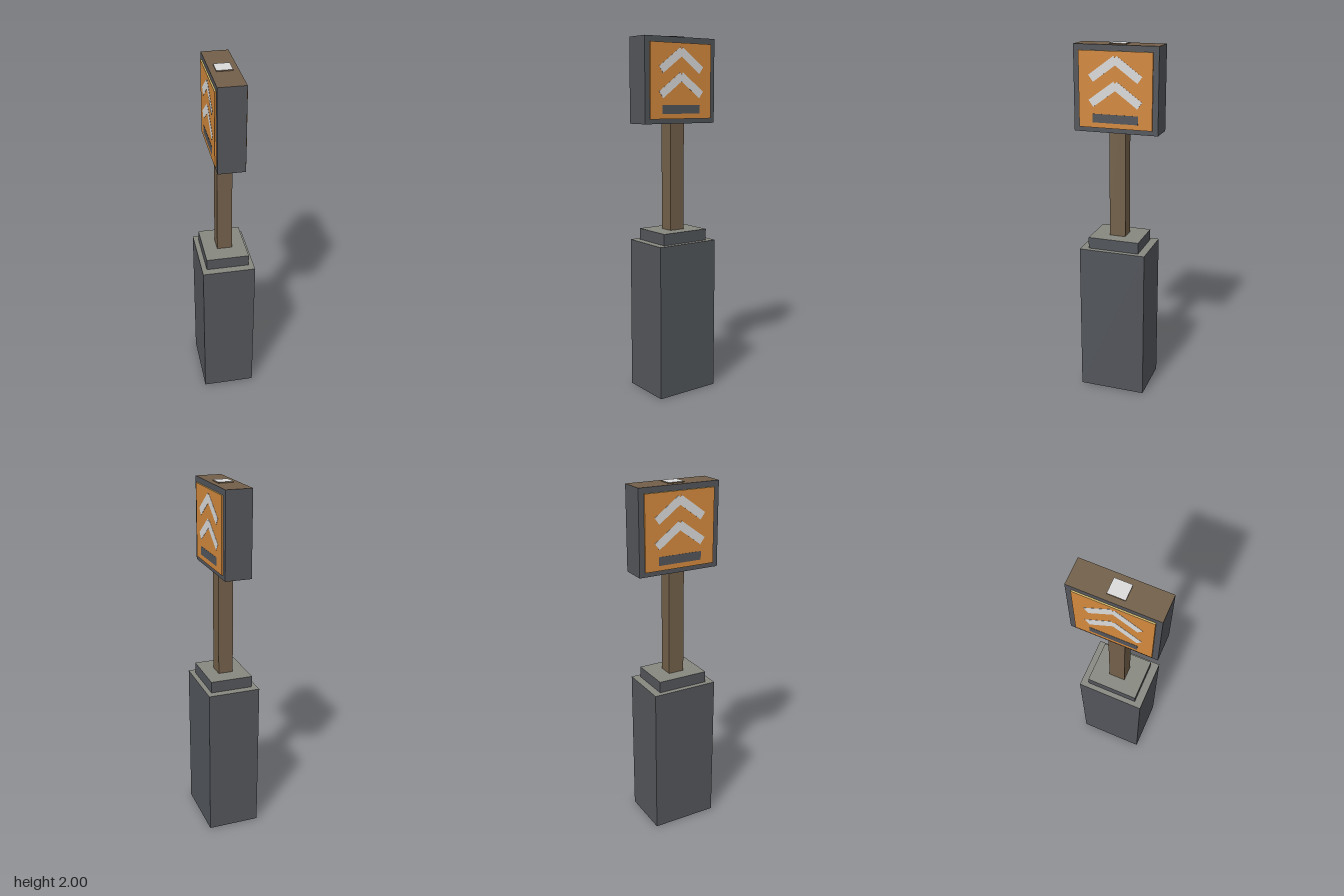
import * as THREE from 'three';

const material = (name, color) => {
  const m = new THREE.MeshStandardMaterial({ color });
  m.name = name;
  return m;
};

export function createModel() {
  const model = new THREE.Group();
  model.name = 'signpost';

  const slate = material('slate', 0x52555a);
  const stone = material('stone', 0x86877f);
  const wood = material('wood', 0x725f49);
  const orange = material('orange', 0xd3893d);
  const straw = material('straw', 0xd6bd6e);
  const pale = material('pale', 0xdadada);

  // Box standing from y0 to y1, with its own colour on the top face
  function block(name, width, depth, y0, y1, side, top, parent = model) {
    const mesh = new THREE.Mesh(
      new THREE.BoxGeometry(width, y1 - y0, depth),
      [side, side, top, side, side, side]
    );
    mesh.name = name;
    mesh.position.y = (y0 + y1) / 2;
    parent.add(mesh);
    return mesh;
  }

  // Stepped pedestal
  block('pedestal', 0.296, 0.38, 0, 0.868, slate, stone);
  block('pedestalCap', 0.24, 0.292, 0.868, 0.932, slate, stone);

  // Post running up through the sign, its pale end just showing on top
  block('post', 0.084, 0.092, 0.932, 2, wood, pale);

  // Sign housing
  block('signHousing', 0.146, 0.472, 1.53, 1.994, slate, wood);

  // Panel with two chevrons and a bar on each broad side
  for (const s of [1, -1]) {
    const face = new THREE.Group();
    face.name = s > 0 ? 'leftFace' : 'rightFace';
    model.add(face);

    const panel = block('panel', 0.008, 0.41, 1.556, 1.963, orange, straw, face);
    panel.position.x = s * 0.077;

    const plate = (name, length, height, y, z, angle, mat) => {
      const mesh = new THREE.Mesh(new THREE.BoxGeometry(0.002, height, length), mat);
      mesh.name = name;
      mesh.position.set(s * 0.081, y, z);
      mesh.rotation.x = angle;
      face.add(mesh);
    };
    for (const y of [1.87, 1.737]) {
      for (const side of [1, -1]) {
        plate('chevronArm', 0.174, 0.045, y, side * 0.066, side * 0.63, pale);
      }
    }
    plate('bar', 0.254, 0.047, 1.607, 0, 0, slate);
  }

  return model;
}
